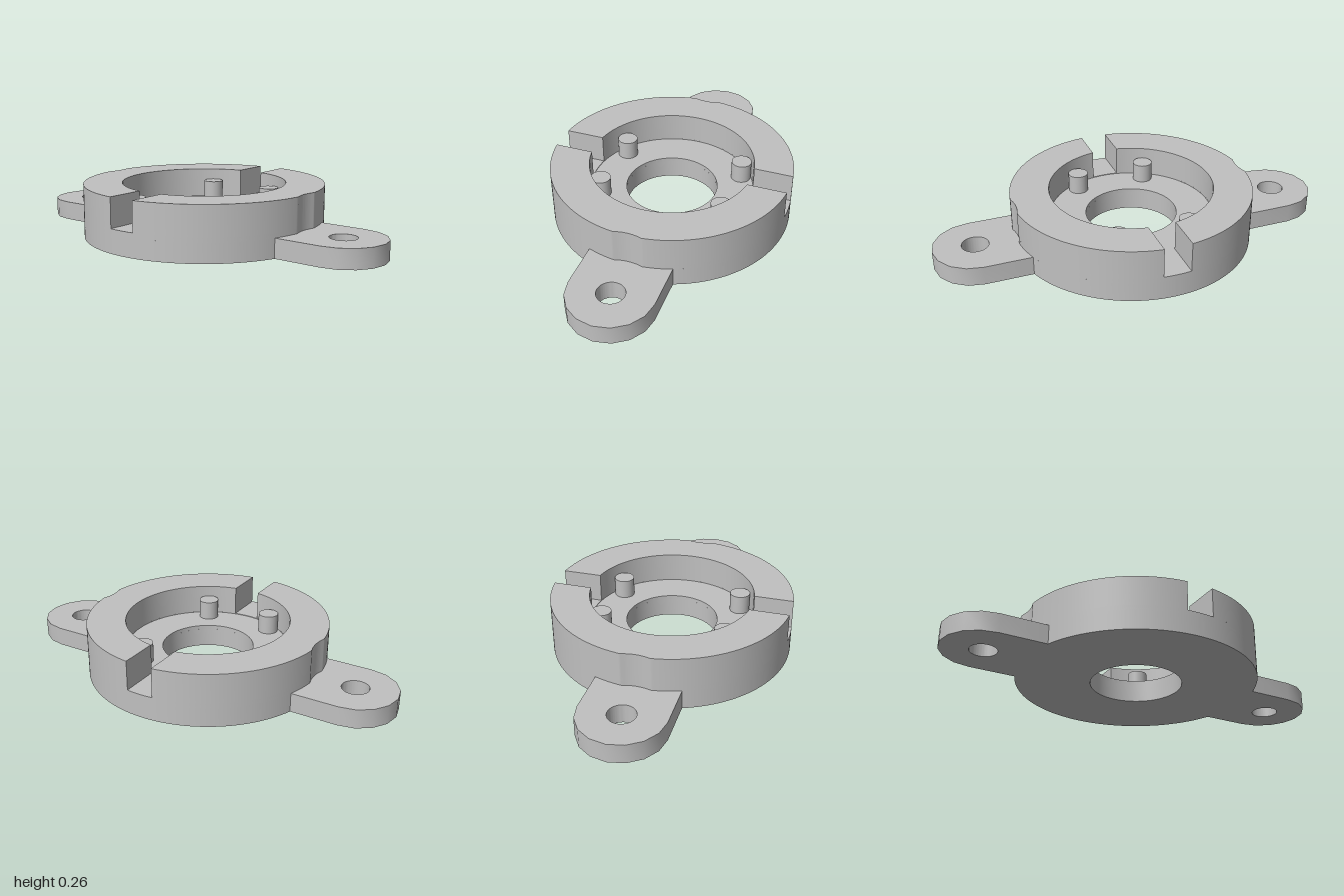
import * as THREE from 'three';
import { toCreasedNormals } from 'three/addons/utils/BufferGeometryUtils.js';

const R = 0.6, INNER = 0.408, BORE = 0.228;            // body radii
const TAB_Z = 0.795, TAB_R = 0.205, SCREW_R = 0.066;   // mounting tabs
const CLEAR_R = 0.21;                                  // screw-head clearance cut
const TAB_TOP = 0.095, FLOOR = 0.115, SLOT = 0.118, TOP = 0.265, SLOT_HALF = 0.067;

export function createModel() {
  const group = new THREE.Group();
  const grey = new THREE.MeshStandardMaterial({ color: 0xc0c0c0 });
  grey.name = 'grey';

  const add = (name, geometry) => {
    const mesh = new THREE.Mesh(geometry, grey);
    mesh.name = name;
    group.add(mesh);
    return mesh;
  };

  // Plan-view outline raised from y0 to y1
  const slab = (shape, y0, y1, segments = 40) => {
    const g = new THREE.ExtrudeGeometry(shape, { depth: y1 - y0, bevelEnabled: false, curveSegments: segments });
    g.rotateX(-Math.PI / 2).translate(0, y0, 0);
    return toCreasedNormals(g, 0.5);
  };

  const circle = (x, y, r) => new THREE.Path().absarc(x, y, r, 0, Math.PI * 2, false);

  // Half of the outer rim, from angle a to PI - a, dented by the clearance cut
  const cutY = (R * R + TAB_Z * TAB_Z - CLEAR_R * CLEAR_R) / (2 * TAB_Z);
  const cutX = Math.sqrt(R * R - cutY * cutY);
  const dentedRim = (shape, a, s = 1) => {
    const turn = s > 0 ? 0 : Math.PI;
    const n = Math.atan2(cutY, cutX), d = Math.asin(cutX / CLEAR_R);
    shape.absarc(0, 0, R, a + turn, n + turn, false);
    shape.absarc(0, s * TAB_Z, CLEAR_R, -Math.PI / 2 + d + turn, -Math.PI / 2 - d + turn, true);
    shape.absarc(0, 0, R, Math.PI - n + turn, Math.PI - a + turn, false);
    return shape;
  };

  // Bottom plate: disc with two rounded tabs
  const root = Math.acos(TAB_R / R);
  const plate = new THREE.Shape();
  for (const s of [1, -1]) {
    const turn = s > 0 ? 0 : Math.PI;
    plate.absarc(0, 0, R, turn, turn + root, false);
    for (let i = 0; i <= 8; i++) {
      const t = turn + (i / 8) * Math.PI;
      plate.lineTo(TAB_R * Math.cos(t), s * TAB_Z + TAB_R * Math.sin(t));
    }
    plate.absarc(0, 0, R, turn + Math.PI - root, turn + Math.PI, false);
  }
  plate.holes.push(circle(0, 0, BORE), circle(0, TAB_Z, SCREW_R), circle(0, -TAB_Z, SCREW_R));
  add('basePlate', slab(plate, 0, TAB_TOP));

  // Recessed floor around the bore
  const floor = new THREE.Shape().absarc(0, 0, INNER, 0, Math.PI * 2, false);
  floor.holes.push(circle(0, 0, BORE));
  add('floor', slab(floor, TAB_TOP, FLOOR, 80));

  // Continuous band under the slots
  const band = dentedRim(dentedRim(new THREE.Shape(), 0, 1), 0, -1);
  band.holes.push(circle(0, 0, INNER));
  add('wallBand', slab(band, TAB_TOP, SLOT));

  // Two wall halves, separated by the side slots
  const aOut = Math.asin(SLOT_HALF / R), aIn = Math.asin(SLOT_HALF / INNER);
  const half = dentedRim(new THREE.Shape(), aOut);
  half.absarc(0, 0, INNER, Math.PI - aIn, aIn, true);
  half.closePath();
  const halfGeometry = slab(half, SLOT, TOP);
  add('backWall', halfGeometry);
  add('frontWall', halfGeometry).rotation.y = Math.PI;

  // Four locating pegs
  const peg = new THREE.CylinderGeometry(0.05, 0.05, 0.21 - TAB_TOP, 32);
  for (const x of [-0.31, 0.31]) {
    for (const z of [-0.18, 0.18]) {
      add('peg', peg).position.set(x, (0.21 + TAB_TOP) / 2, z);
    }
  }
  return group;
}
